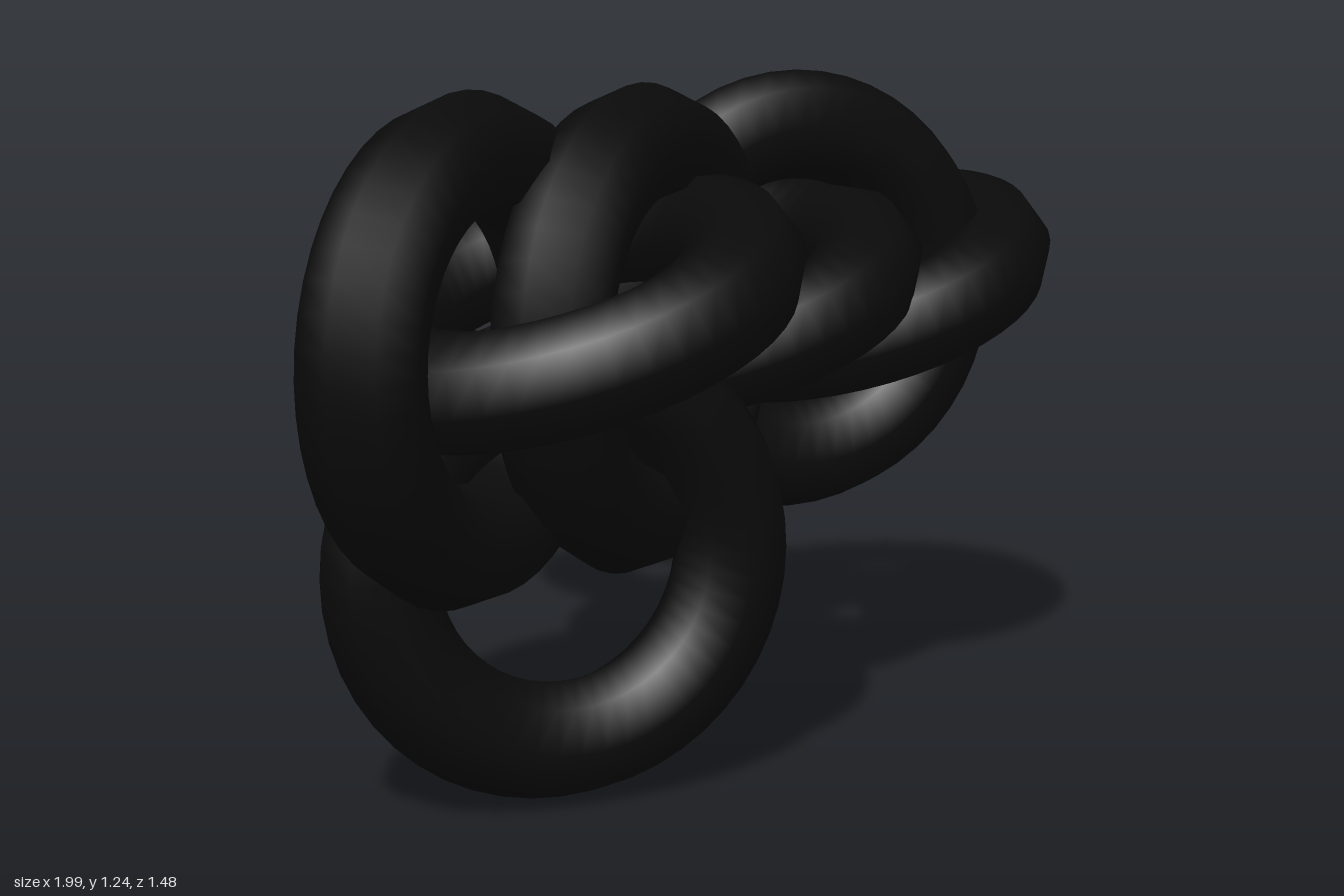
import * as THREE from 'three';

const TILT = THREE.MathUtils.degToRad(20);

export function createModel() {
  const model = new THREE.Group();
  model.name = 'chainLinks';
  const material = new THREE.MeshStandardMaterial({ color: 0x0a0a0a });
  const ring = new THREE.TorusGeometry(0.325, 0.105, 8, 48);

  function addLink(name, x, y, z, rx, ry, rz) {
    const link = new THREE.Mesh(ring, material);
    link.name = name;
    link.position.set(x, y, z);
    link.rotation.set(rx, ry, rz, 'ZYX');
    model.add(link);
  }

  // Upright links, turned about the vertical axis
  const upright = [
    ['outerUprightLink', -0.59, 0.81, 0.31, 1],
    ['innerUprightLink', -0.2, 0.81, 0.31, 1],
    ['hangingLink', -0.39, 0.43, 0.31, -1],
    ['joiningUprightLink', 0.39, 0.81, 0.12, -1],
  ];
  for (const [name, x, y, z, s] of upright) addLink(name, x, y, z, 0, s * TILT, 0);

  // Lying links, rolled about the front-to-back axis
  const lying = [
    ['joiningLyingLink', -0.39, 0.87, 0.31, 1],
    ['innerLyingLink', 0.2, 0.81, 0.06, 1],
    ['outerLyingLink', 0.59, 0.81, 0.06, 1],
    ['rearLyingLink', 0.39, 0.81, -0.31, -1],
  ];
  for (const [name, x, y, z, s] of lying) addLink(name, x, y, z, Math.PI / 2, 0, s * TILT);

  return model;
}
